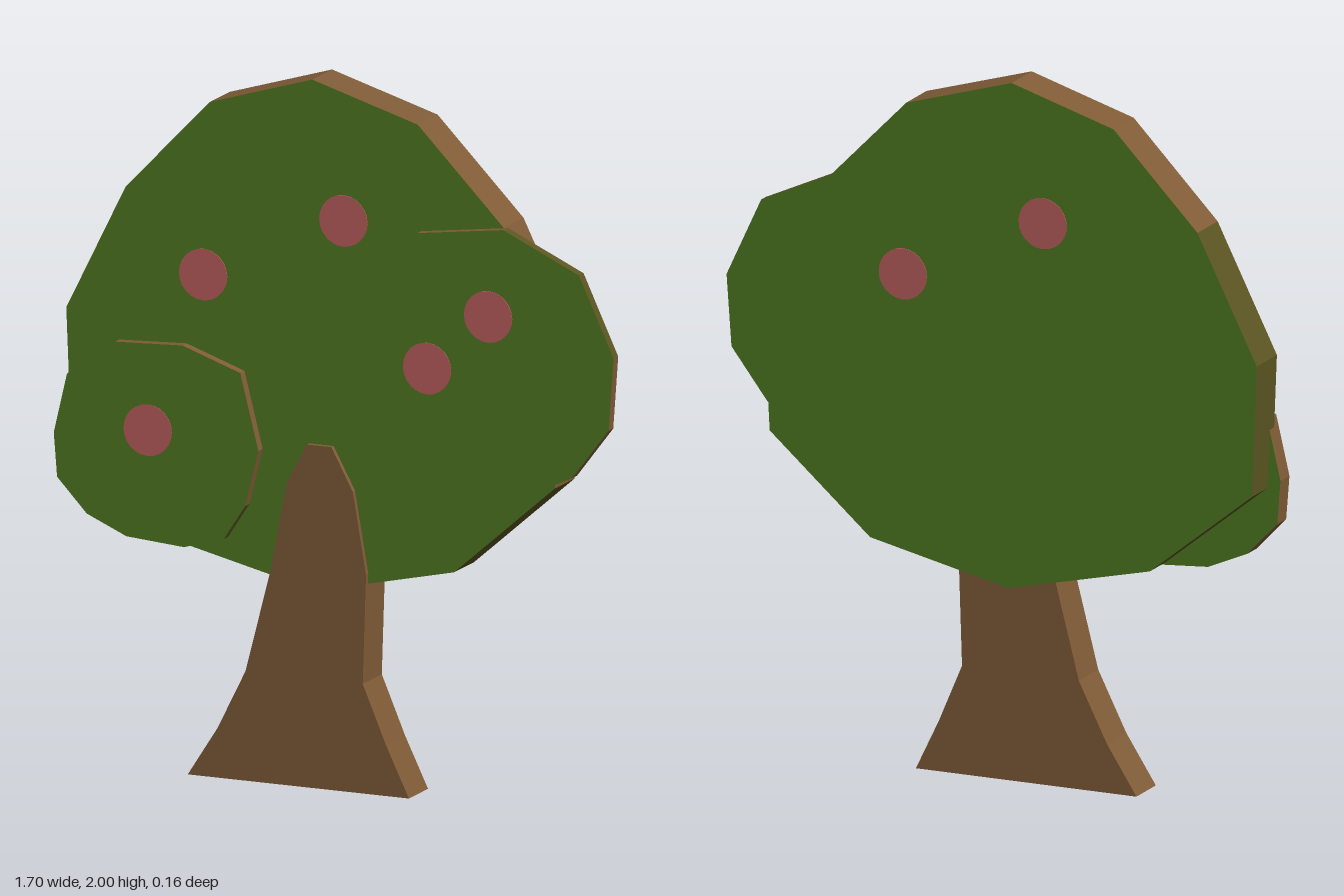
import * as THREE from 'three';

const mat = (name, color) => Object.assign(new THREE.MeshStandardMaterial({ color }), { name });

export function createModel() {
  const tree = new THREE.Group();
  tree.name = 'tree';

  const leaf = mat('leaf green', 0x507a22);
  const bark = mat('bark brown', 0x805b37);
  const olive = mat('olive edge', 0x5c5522);
  const fruit = mat('fruit red', 0xbc605e);

  // Flat board cut from an outline; isOlive(x, y) picks which rim faces are olive
  function slab(name, points, zBack, zFront, face, isOlive = () => false) {
    const shape = new THREE.Shape(points.map(([x, y]) => new THREE.Vector2(x, y)));
    const geo = new THREE.ExtrudeGeometry(shape, { depth: zFront - zBack, bevelEnabled: false });
    geo.translate(0, 0, zBack);
    const [caps, rim] = geo.groups.map((g) => ({ ...g }));
    geo.clearGroups();
    geo.addGroup(caps.start, caps.count, 0);
    const p = geo.attributes.position;
    for (let i = rim.start; i < rim.start + rim.count; i += 6) {
      let x = 0, y = 0;
      for (let k = 0; k < 6; k++) {
        x += p.getX(i + k) / 6;
        y += p.getY(i + k) / 6;
      }
      geo.addGroup(i, 6, isOlive(x, y) ? 2 : 1);
    }
    const mesh = new THREE.Mesh(geo, [face, bark, olive]);
    mesh.name = name;
    tree.add(mesh);
  }

  // Trunk with flared foot
  slab('trunk', [
    [-0.45, 0], [0.22, 0], [0.15, 0.145], [0.08, 0.31], [0.09, 0.62], [0.05, 0.85],
    [-0.015, 0.97], [-0.09, 0.97], [-0.15, 0.855], [-0.2, 0.6], [-0.275, 0.31], [-0.36, 0.14],
  ], -0.06, 0.065, bark);

  // Main crown
  slab('crown', [
    [-0.08, 2], [-0.39, 1.905], [-0.645, 1.64], [-0.825, 1.28], [-0.81, 0.905], [-0.5, 0.655],
    [-0.07, 0.555], [0.35, 0.65], [0.655, 0.918], [0.675, 1.285], [0.5, 1.64], [0.24, 1.905],
  ], -0.08, 0.05, leaf, (x, y) => y < 0.8 || x < -0.6);

  // Foliage lobes in front of the crown
  slab('leftFoliage', [
    [0.005, 1.245], [0.065, 1.01], [0.19, 0.915], [0.37, 0.87], [0.55, 0.88], [0.72, 0.96],
    [0.83, 1.105], [0.845, 1.31], [0.74, 1.535], [0.51, 1.64], [0.25, 1.605], [0.06, 1.47],
  ], 0.045, 0.075, leaf, (x, y) => x > 0.55 && y > 1.35);

  slab('rightFoliage', [
    [-0.85, 0.93], [-0.84, 0.805], [-0.75, 0.71], [-0.63, 0.658], [-0.455, 0.645], [-0.335, 0.68],
    [-0.27, 0.78], [-0.23, 0.94], [-0.285, 1.155], [-0.46, 1.215], [-0.665, 1.205], [-0.81, 1.1],
  ], 0.02, 0.078, leaf, (x, y) => y < 0.75);

  // Round fruits as thin discs: x, y, surface z
  const disc = new THREE.CylinderGeometry(0.073, 0.073, 0.004, 24).rotateX(Math.PI / 2);
  [
    [-0.41, 1.415, 0.05], [0.015, 1.61, 0.05], [0.465, 1.39, 0.075], [0.28, 1.225, 0.075],
    [-0.565, 0.965, 0.078], [0.25, 1.415, -0.08], [-0.175, 1.61, -0.08],
  ].forEach(([x, y, z], i) => {
    const mesh = new THREE.Mesh(disc, fruit);
    mesh.name = `fruit${i + 1}`;
    mesh.position.set(x, y, z);
    tree.add(mesh);
  });

  return tree;
}
